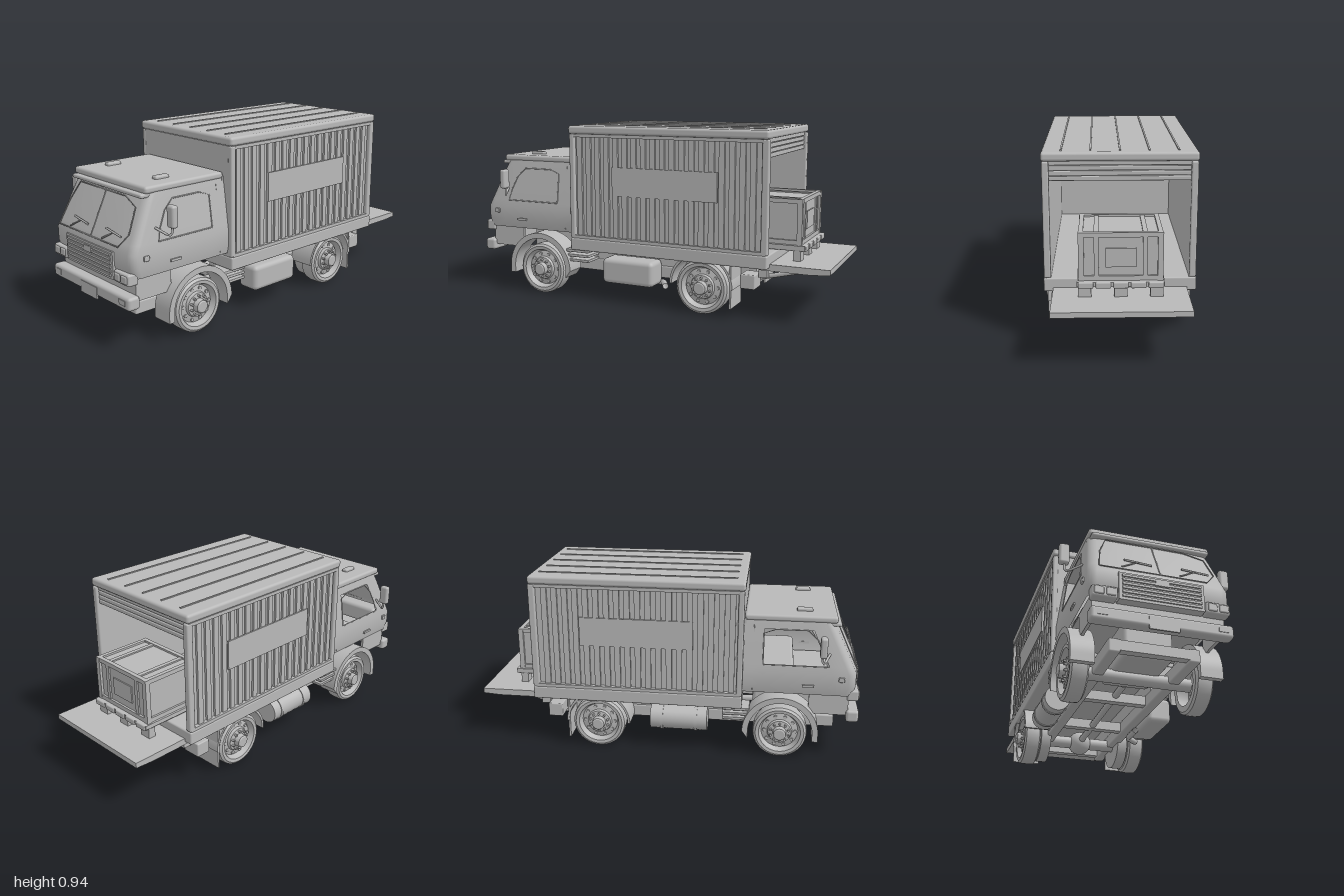
import * as THREE from 'three';
import { toCreasedNormals } from 'three/addons/utils/BufferGeometryUtils.js';
import { RoundedBoxGeometry } from 'three/addons/geometries/RoundedBoxGeometry.js';

const grey = new THREE.MeshStandardMaterial({ color: 0xb8b8b8, side: THREE.DoubleSide });
grey.name = 'plain grey';

export function createModel() {
  const truck = new THREE.Group();
  truck.name = 'boxTruck';

  const add = (name, geo, x = 0, y = 0, z = 0, parent = truck) => {
    const m = new THREE.Mesh(geo, grey);
    m.name = name;
    m.position.set(x, y, z);
    parent.add(m);
    return m;
  };
  // Box given by its limits on each axis, optionally rounded
  const box = (name, x0, x1, y0, y1, z0, z1, r = 0) => {
    const [w, h, d] = [x1 - x0, y1 - y0, z1 - z0];
    const geo = r ? new RoundedBoxGeometry(w, h, d, 2, r) : new THREE.BoxGeometry(w, h, d);
    return add(name, geo, (x0 + x1) / 2, (y0 + y1) / 2, (z0 + z1) / 2);
  };
  // The same box on both sides of the truck
  const pair = (name, x0, x1, ...rest) => {
    box(name + 'Left', x0, x1, ...rest);
    box(name + 'Right', -x1, -x0, ...rest);
  };
  // Bent rod through points
  const rod = (name, r, ...pts) => {
    const path = new THREE.CurvePath();
    const v = pts.map(p => new THREE.Vector3(...p));
    for (let i = 1; i < v.length; i++) path.add(new THREE.LineCurve3(v[i - 1], v[i]));
    return add(name, new THREE.TubeGeometry(path, (v.length - 1) * 3, r, 8));
  };
  const crossCylinder = (name, r, len, x, y, z, seg = 20) =>
    add(name, new THREE.CylinderGeometry(r, r, len, seg).rotateZ(Math.PI / 2), x, y, z);

  // Cab shell: rows of [height, half width, front z]
  const rows = [[0.355, 0.325, 0.965], [0.40, 0.335, 0.98], [0.47, 0.335, 0.98],
    [0.51, 0.329, 0.962], [0.69, 0.304, 0.876], [0.74, 0.295, 0.85]];
  const rowAt = y => {
    let j = 1;
    while (j < rows.length - 1 && rows[j][0] < y) j++;
    const t = (y - rows[j - 1][0]) / (rows[j][0] - rows[j - 1][0]);
    return rows[j].map((v, k) => THREE.MathUtils.lerp(rows[j - 1][k], v, t));
  };
  const section = ([y, w, zf]) => {
    const half = [[w, 0.40], [w, 0.50], [w, zf - 0.13]];
    for (let i = 0; i <= 5; i++) {
      const a = i / 5 * Math.PI / 2;
      half.push([w - 0.04 + 0.04 * Math.cos(a), zf - 0.05 + 0.04 * Math.sin(a)]);
    }
    half.push([w * 0.5, zf - 0.002]);
    return [...half.map(([x, z]) => [-x, y, z]), [0, y, zf], ...half.reverse().map(([x, z]) => [x, y, z])];
  };
  const rings = rows.map(section), n = rings[0].length, index = [];
  for (let j = 0; j < rows.length - 1; j++) {
    for (let i = 0; i < n - 1; i++) {
      if (j === 3 && i === 1) continue; // open side window
      const a = j * n + i, d = a + n;
      index.push(a, a + 1, d + 1, a, d + 1, d);
    }
  }
  const shell = new THREE.BufferGeometry();
  shell.setAttribute('position', new THREE.Float32BufferAttribute(rings.flat(2), 3));
  shell.setIndex(index);
  add('cabShell', toCreasedNormals(shell, 0.6));
  box('cabRoof', -0.30, 0.30, 0.728, 0.763, 0.40, 0.862, 0.014);
  box('sunVisor', -0.29, 0.29, 0.71, 0.73, 0.78, 0.882, 0.008);
  box('cabBack', -0.30, 0.30, 0.355, 0.74, 0.40, 0.41);
  box('cabFloor', -0.31, 0.31, 0.355, 0.365, 0.40, 0.94);
  box('seatBase', -0.27, 0.27, 0.365, 0.47, 0.46, 0.66, 0.02);
  box('seatBack', -0.27, 0.27, 0.45, 0.66, 0.43, 0.50, 0.02);
  box('dashboard', -0.30, 0.30, 0.40, 0.50, 0.84, 0.94, 0.02);
  add('steeringWheel', new THREE.TorusGeometry(0.06, 0.008, 8, 24), 0.16, 0.52, 0.79).rotation.x = -0.6;
  pair('roofLamp', 0.18, 0.215, 0.755, 0.778, 0.66, 0.74, 0.008);

  // Windscreen trim and wipers
  const onGlass = (x, y, out = 0.001) => [x, y, rowAt(y)[2] + out];
  rod('windscreenTrim', 0.003, onGlass(-0.285, 0.492), onGlass(-0.25, 0.70), onGlass(0.25, 0.70),
    onGlass(0.285, 0.492), onGlass(-0.285, 0.492));
  rod('windscreenDivider', 0.003, onGlass(0, 0.492), onGlass(0, 0.70));
  for (const x of [-0.1, 0.175]) {
    rod('wiperBlade', 0.005, onGlass(x - 0.065, 0.553, 0.012), onGlass(x + 0.065, 0.54, 0.012));
    rod('wiperArm', 0.004, onGlass(x - 0.08, 0.503, 0.006), onGlass(x, 0.546, 0.016));
  }
  for (const s of [-1, 1]) {
    // Side window trim, door handle and mirror
    const onDoor = (y, z) => [s * (rowAt(y)[1] + 0.001), y, z];
    rod('sideWindowTrim', 0.003, onDoor(0.51, 0.50), onDoor(0.69, 0.50), onDoor(0.69, 0.746),
      onDoor(0.51, 0.832), onDoor(0.51, 0.50));
    rod('doorSeam', 0.002, onDoor(0.37, 0.45), onDoor(0.71, 0.45));
    box('doorHandle', s * 0.338 - 0.005, s * 0.338 + 0.005, 0.40, 0.412, 0.70, 0.76);
    box('sideMarker', s * 0.338 - 0.006, s * 0.338 + 0.006, 0.435, 0.46, 0.88, 0.91, 0.004);
    rod('mirrorArm', 0.006, [s * 0.32, 0.575, 0.83], [s * 0.385, 0.545, 0.80], [s * 0.396, 0.56, 0.79], [s * 0.396, 0.64, 0.79]);
    box('mirror', s * 0.4 - 0.025, s * 0.4 + 0.025, 0.585, 0.69, 0.775, 0.81, 0.012);
  }

  // Grille
  box('grillePanel', -0.20, 0.20, 0.33, 0.465, 0.94, 0.985);
  for (let i = 0; i < 6; i++) box('grilleSlat', -0.185, 0.185, 0.343 + i * 0.02, 0.354 + i * 0.02, 0.98, 0.992);
  box('grilleLatch', -0.032, 0.032, 0.42, 0.45, 0.98, 0.994);
  // Lights, bumper and valance
  pair('headlampFrame', 0.205, 0.322, 0.328, 0.385, 0.93, 0.988, 0.01);
  pair('innerHeadlamp', 0.215, 0.258, 0.338, 0.376, 0.97, 0.994, 0.006);
  pair('outerHeadlamp', 0.268, 0.313, 0.338, 0.376, 0.97, 0.994, 0.006);
  box('bumper', -0.33, 0.33, 0.213, 0.277, 0.93, 0.995, 0.015);
  pair('fogLamp', 0.255, 0.30, 0.235, 0.26, 0.988, 0.998);
  box('numberPlate', -0.07, 0.07, 0.20, 0.26, 0.99, 0.998);
  box('valanceFront', -0.31, 0.31, 0.245, 0.36, 0.90, 0.94);
  pair('valanceSide', 0.295, 0.31, 0.245, 0.36, 0.74, 0.90);

  // Cargo box
  box('cargoBase', -0.36, 0.36, 0.268, 0.335, -0.70, 0.40, 0.008);
  box('cargoRoof', -0.362, 0.362, 0.892, 0.935, -0.70, 0.405, 0.014);
  box('cargoFrontWall', -0.345, 0.345, 0.335, 0.892, 0.385, 0.398);
  pair('cargoWall', 0.325, 0.337, 0.335, 0.892, -0.69, 0.395);
  pair('frontPost', 0.33, 0.358, 0.335, 0.892, 0.37, 0.40, 0.008);
  pair('rearPost', 0.325, 0.358, 0.335, 0.892, -0.70, -0.665, 0.008);
  pair('lowerRail', 0.335, 0.358, 0.335, 0.352, -0.69, 0.39);
  pair('upperRail', 0.335, 0.356, 0.875, 0.892, -0.69, 0.39);
  for (let i = 0; i < 19; i++) {
    const z = -0.635 + i * 0.0535;
    pair('wallRib', 0.335, 0.348, 0.35, 0.878, z, z + 0.03);
  }
  pair('signPanel', 0.345, 0.354, 0.575, 0.725, -0.44, 0.145);
  for (let i = -2; i <= 2; i++) box('roofRib', i * 0.135 - 0.004, i * 0.135 + 0.004, 0.934, 0.94, -0.66, 0.36);
  for (let i = 0; i < 4; i++) box('shutterSlat', -0.327, 0.327, 0.80 + i * 0.024, 0.822 + i * 0.024, -0.685, -0.67, 0.005);

  // Crate on its pallet
  box('crate', -0.18, 0.18, 0.372, 0.585, -0.81, -0.52);
  for (const x of [-0.18, 0.18]) for (const z of [-0.81, -0.52])
    box('cratePost', x - 0.013, x + 0.013, 0.366, 0.595, z - 0.013, z + 0.013);
  for (const y of [0.38, 0.585]) {
    for (const z of [-0.81, -0.52]) box('crateCrossRail', -0.18, 0.18, y - 0.012, y + 0.01, z - 0.011, z + 0.011);
    pair('crateSideRail', 0.17, 0.191, y - 0.012, y + 0.01, -0.81, -0.52);
  }
  pair('crateStrap', 0.10, 0.122, 0.37, 0.592, -0.818, -0.512);
  box('crateLabel', -0.07, 0.07, 0.43, 0.52, -0.816, -0.808);
  box('pallet', -0.20, 0.20, 0.345, 0.366, -0.84, -0.49);
  for (let i = 0; i < 5; i++) box('palletBoard', -0.195 + i * 0.08, -0.125 + i * 0.08, 0.337, 0.367, -0.845, -0.485, 0.006);
  for (const x of [-0.165, 0, 0.165]) box('palletFoot', x - 0.03, x + 0.03, 0.285, 0.34, -0.82, -0.782);

  // Wedge-shaped tail lift and its struts
  const wedge = new THREE.Shape([[0.645, 0.288], [0.995, 0.288], [0.995, 0.262], [0.90, 0.255], [0.645, 0.255]]
    .map(p => new THREE.Vector2(...p)));
  add('tailLift', new THREE.ExtrudeGeometry(wedge, { depth: 0.63, bevelEnabled: false }).rotateY(Math.PI / 2), -0.315);
  for (const s of [-1, 1]) {
    rod('liftArm', 0.012, [s * 0.23, 0.19, -0.60], [s * 0.23, 0.255, -0.86]);
    rod('liftRam', 0.01, [s * 0.14, 0.18, -0.55], [s * 0.14, 0.255, -0.72]);
    box('liftHinge', s * 0.27 - 0.015, s * 0.27 + 0.015, 0.21, 0.275, -0.68, -0.635);
  }
  box('rearBeam', -0.30, 0.30, 0.165, 0.215, -0.62, -0.57);
  pair('tailLamp', 0.23, 0.33, 0.155, 0.228, -0.632, -0.555, 0.006);

  // Chassis
  pair('frameRail', 0.16, 0.215, 0.13, 0.196, -0.60, 0.88, 0.008);
  for (const z of [0.86, 0.30, -0.10, -0.55]) box('crossMember', -0.18, 0.18, 0.14, 0.19, z - 0.02, z + 0.02);
  pair('frameMount', 0.165, 0.21, 0.19, 0.27, -0.60, 0.38);
  crossCylinder('frontAxle', 0.033, 0.56, 0, 0.145, 0.60);
  crossCylinder('rearAxle', 0.033, 0.56, 0, 0.145, -0.355);
  add('differential', new THREE.SphereGeometry(0.065, 20, 14), 0, 0.145, -0.355);
  rod('driveShaft', 0.018, [0, 0.15, -0.33], [0, 0.18, 0.45]);
  box('engine', -0.12, 0.12, 0.16, 0.34, 0.45, 0.80, 0.02);
  box('fuelTank', 0.21, 0.34, 0.10, 0.235, -0.08, 0.22, 0.025);
  rod('exhaust', 0.016, [0.20, 0.105, 0.05], [0.20, 0.105, -0.08], [0.26, 0.10, -0.12]);
  add('airTank', new THREE.CylinderGeometry(0.065, 0.065, 0.30, 24).rotateX(Math.PI / 2), -0.275, 0.168, 0.07);
  for (const z of [-0.02, 0.16])
    add('tankStrap', new THREE.CylinderGeometry(0.069, 0.069, 0.015, 24).rotateX(Math.PI / 2), -0.275, 0.168, z);
  for (let i = 0; i < 3; i++) pair('stepTread', 0.23, 0.345, 0.20 + i * 0.026, 0.215 + i * 0.026, 0.30, 0.44, 0.004);

  // Wheels: outer side faces +x before mirroring
  const tyreProfile = [[0.095, -0.045], [0.125, -0.045], [0.137, -0.036], [0.14, -0.02], [0.14, 0.02], [0.137, 0.036],
    [0.125, 0.045], [0.108, 0.043], [0.103, 0.03], [0.095, 0.012], [0.065, 0.02], [0.06, 0.035], [0.035, 0.04],
    [0.032, 0.068], [0.025, 0.072], [0, 0.072]].map(p => new THREE.Vector2(...p));
  const wheelGeo = toCreasedNormals(new THREE.LatheGeometry(tyreProfile, 40).rotateZ(-Math.PI / 2), 0.5);
  const boltGeo = new THREE.CylinderGeometry(0.006, 0.006, 0.02, 6).rotateZ(Math.PI / 2);
  const ventGeo = new THREE.CylinderGeometry(0.009, 0.009, 0.008, 12).rotateZ(Math.PI / 2);
  const makeWheel = (name, s, z) => {
    const wheel = new THREE.Group();
    wheel.name = name;
    add('tyreAndRim', wheelGeo, 0, 0, 0, wheel);
    crossCylinder('innerDisc', 0.097, 0.006, 0, 0, 0, 32).removeFromParent();
    for (let i = 0; i < 10; i++) {
      const a = i / 10 * Math.PI * 2;
      add('wheelBolt', boltGeo, 0.042, 0.048 * Math.cos(a), 0.048 * Math.sin(a), wheel);
      add('wheelVent', ventGeo, 0.018, 0.08 * Math.cos(a + 0.3), 0.08 * Math.sin(a + 0.3), wheel);
    }
    wheel.position.set(s * 0.30, 0.14, z);
    wheel.rotation.y = s < 0 ? Math.PI : 0;
    truck.add(wheel);
  };
  // Mudguard arch over a wheel, with straight lower ends
  const makeArch = (name, s, z, r0, r1, drop, x0, x1) => {
    const arch = new THREE.Shape();
    arch.moveTo(r1, -drop);
    arch.absarc(0, 0, r1, 0, Math.PI, false);
    arch.lineTo(-r1, -drop);
    arch.lineTo(-r0, -drop);
    arch.absarc(0, 0, r0, Math.PI, 0, true);
    arch.lineTo(r0, -drop);
    const geo = new THREE.ExtrudeGeometry(arch, { depth: x1 - x0, bevelEnabled: false, curveSegments: 24 });
    add(name, toCreasedNormals(geo.rotateY(Math.PI / 2), 0.5), s > 0 ? x0 : -x1, 0.147, z);
  };
  for (const s of [-1, 1]) {
    makeWheel('frontWheel', s, 0.60);
    makeWheel('rearWheel', s, -0.355);
    crossCylinder('innerRearTyre', 0.125, 0.055, s * 0.2225, 0.145, -0.355, 40);
    makeArch('frontMudguard', s, 0.60, 0.165, 0.195, 0.04, 0.25, 0.363);
    makeArch('rearMudguard', s, -0.355, 0.158, 0.17, 0, 0.20, 0.355);
    box('mudFlap', s * 0.278 - 0.075, s * 0.278 + 0.075, 0.05, 0.27, -0.518, -0.508);
  }
  return truck;
}
